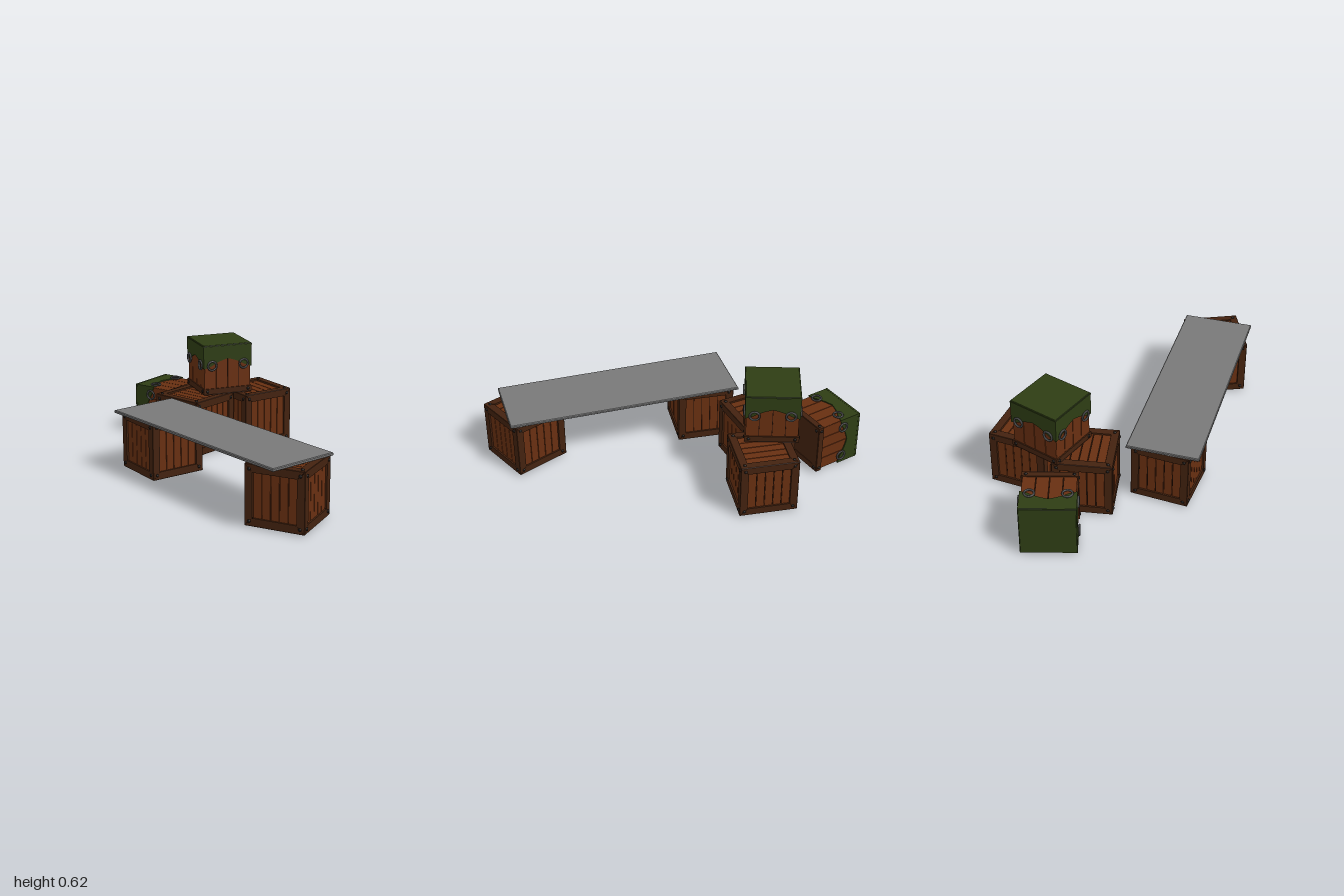
import * as THREE from 'three';
import { ConvexGeometry } from 'three/addons/geometries/ConvexGeometry.js';

const mat = (color, extra) => new THREE.MeshStandardMaterial({ color, ...extra });
const V = (x, y, z) => new THREE.Vector3(x, y, z);

export function createModel() {
  const root = new THREE.Group();
  const frameMat = mat(0x43220f), panelMat = mat(0x682f11), gapMat = mat(0x1f0f06);
  const rivetMat = mat(0x16120f), ringMat = mat(0x444444), clothMat = mat(0x2e3d14);
  const slabMat = mat(0x787878);

  const add = (parent, name, geo, material, x = 0, y = 0, z = 0) => {
    const m = new THREE.Mesh(geo, material);
    m.name = name;
    m.position.set(x, y, z);
    parent.add(m);
    return m;
  };

  // Mitred frame board along the lower edge of a square face at z = h
  const frameBoard = (h, w) => {
    const d = 0.014, g = 0.0008, b = 0.002;
    const pts = [];
    for (const s of [-1, 1]) {
      pts.push(V(s * (h - b - g), -h + b, h), V(s * (h - w - g), -h + w, h));
      pts.push(V(s * (h - b - g), -h, h - b));
      pts.push(V(s * (h - d - g), -h + d, h - d), V(s * (h - w - g), -h + w, h - d));
    }
    return new ConvexGeometry(pts);
  };
  const rivetGeo = new THREE.SphereGeometry(0.009, 8, 4, 0, Math.PI * 2, 0, Math.PI / 2);
  rivetGeo.rotateX(Math.PI / 2);
  rivetGeo.scale(1, 1, 0.75);

  // One crate face: four mitred boards, vertical planks and corner rivets
  const crateFace = (h, w, planks) => {
    const face = new THREE.Group();
    face.name = 'crateFace';
    const geo = frameBoard(h, w);
    for (let i = 0; i < 4; i++) add(face, 'frameBoard', geo, frameMat).rotation.z = i * Math.PI / 2;
    const inner = 2 * (h - w), pw = inner / planks;
    const plankGeo = new THREE.BoxGeometry(pw - 0.004, inner, 0.008);
    for (let i = 0; i < planks; i++)
      add(face, 'plank', plankGeo, panelMat, -inner / 2 + pw * (i + 0.5), 0, h - 0.013);
    const r = h - w / 2 - 0.004;
    for (const x of [-r, r]) for (const y of [-r, r]) add(face, 'rivet', rivetGeo, rivetMat, x, y, h);
    return face;
  };

  // Plain crate with six framed faces
  const crate = (name, x, z, angle) => {
    const g = new THREE.Group(), h = 0.16;
    g.name = name;
    add(g, 'core', new THREE.BoxGeometry(0.29, 0.29, 0.29), gapMat);
    for (let i = 0; i < 4; i++) {
      const f = crateFace(h, 0.043, 5);
      f.rotation.y = i * Math.PI / 2;
      g.add(f);
    }
    for (const s of [-1, 1]) {
      const f = crateFace(h, 0.043, 5);
      f.rotation.set(s * Math.PI / 2, 0, Math.PI / 2);
      g.add(f);
    }
    g.position.set(x, 0.17, z);
    g.rotation.y = angle;
    root.add(g);
  };

  // Cloth flap with a scalloped lower edge
  const H = 0.1475, top = 0.145;
  const flap = new THREE.Shape();
  flap.moveTo(-H, top);
  flap.lineTo(-H, 0.01);
  flap.lineTo(-0.105, 0.022);
  flap.quadraticCurveTo(-0.06, 0.052, 0, 0.065);
  flap.quadraticCurveTo(0.06, 0.052, 0.105, 0.022);
  flap.lineTo(H, 0.01);
  flap.lineTo(H, top);
  const flapGeo = new THREE.ExtrudeGeometry(flap, { depth: 0.008, bevelEnabled: false, curveSegments: 5 });
  const ringGeo = new THREE.TorusGeometry(0.026, 0.006, 6, 16);

  // Crate with a cloth cover and hanging rings
  const coveredCrate = (name) => {
    const g = new THREE.Group();
    g.name = name;
    add(g, 'core', new THREE.BoxGeometry(0.27, 0.275, 0.27), gapMat);
    add(g, 'base', new THREE.BoxGeometry(0.295, 0.032, 0.295), frameMat, 0, -0.125, 0);
    const plankGeo = new THREE.BoxGeometry(0.067, 0.24, 0.008);
    for (let i = 0; i < 4; i++) {
      const side = new THREE.Group();
      side.name = 'side';
      side.rotation.y = i * Math.PI / 2;
      for (let k = 0; k < 4; k++)
        add(side, 'plank', plankGeo, panelMat, (k - 1.5) * 0.0705, 0, 0.137);
      add(side, 'clothFlap', flapGeo, clothMat, 0, 0, H - 0.008);
      for (const s of [-1, 1]) {
        add(side, 'ring', ringGeo, ringMat, s * 0.097, 0.028, H + 0.004);
        add(side, 'rivet', rivetGeo, rivetMat, s * 0.125, -0.125, H);
      }
      g.add(side);
    }
    // Cover top with softened edges
    const c = H - 0.004;
    const pts = [];
    for (const x of [-1, 1]) for (const z of [-1, 1])
      pts.push(V(x * c, top + 0.002, z * c), V(x * (H + 0.001), top - 0.004, z * (H + 0.001)),
        V(x * (H + 0.001), top - 0.012, z * (H + 0.001)));
    add(g, 'clothTop', new ConvexGeometry(pts), clothMat);
    // Framed underside
    const bottom = crateFace(H, 0.035, 4);
    bottom.rotation.x = Math.PI / 2;
    bottom.position.y = H - top;
    g.add(bottom);
    root.add(g);
    return g;
  };

  crate('backCrate', -0.366, -0.398, -0.095);
  crate('middleCrate', -0.466, -0.042, 0.165);
  crate('leftSupportCrate', -0.252, 0.355, -0.08);
  crate('rightSupportCrate', 0.785, 0.36, 0.42);

  const stacked = coveredCrate('stackedCoveredCrate');
  stacked.position.set(-0.472, 0.475, -0.228);
  stacked.rotation.y = -0.33;

  const tipped = coveredCrate('tippedCoveredCrate');
  tipped.position.set(-0.826, 0.16, -0.125);
  tipped.rotation.set(0, 0.276, Math.PI / 2);

  // Slab bridging the two support crates
  const slabPts = [];
  for (const x of [-1, 1]) for (const z of [-1, 1])
    for (const [y, inset] of [[0.329, 0.003], [0.332, 0], [0.341, 0], [0.345, 0.004]])
      slabPts.push(V(0.2375 + x * (0.6575 - inset), y, 0.3575 + z * (0.198 - inset)));
  add(root, 'slab', new ConvexGeometry(slabPts), slabMat);

  return root;
}
